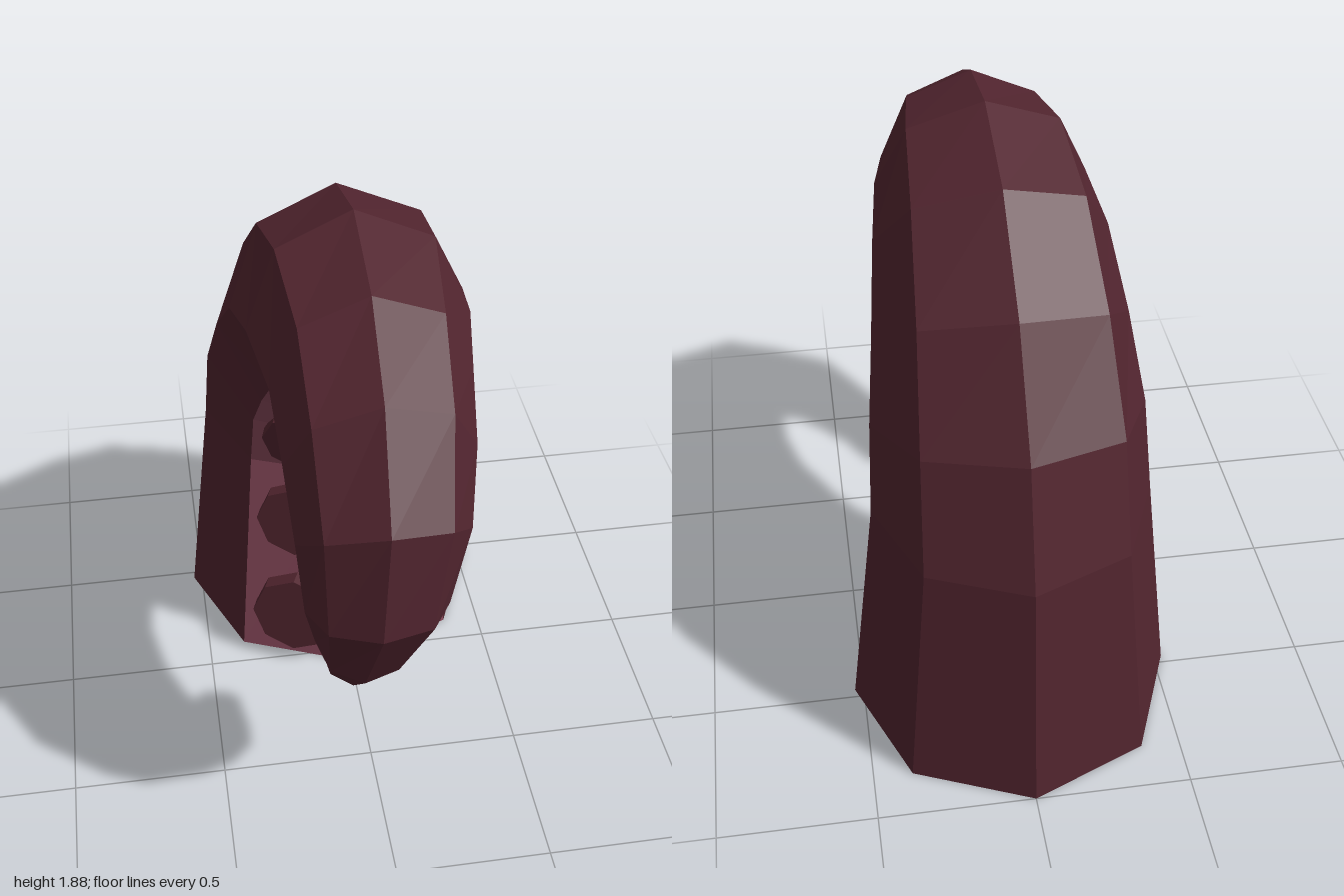
import * as THREE from 'three';

// Rings from base to tip: outer z, outer y, inner z, inner y, half width, centre x, roll
const RINGS = [
  [-1.0, 0, 0.06, 0, 0.53, 0, 0],
  [-0.905, 0.8, -0.035, 0.8, 0.44, 0, 0],
  [-0.79, 1.19, 0.0, 0.97, 0.425, 0, 0],
  [-0.565, 1.53, 0.085, 1.09, 0.395, 0, 0],
  [-0.255, 1.78, 0.19, 1.22, 0.365, 0, 0],
  [0.095, 1.88, 0.31, 1.255, 0.335, 0, 0],
  [0.45, 1.81, 0.42, 1.235, 0.295, 0, 0.02],
  [0.76, 1.66, 0.53, 1.16, 0.275, -0.01, 0.04],
  [0.97, 1.38, 0.585, 1.07, 0.25, -0.02, 0.06],
  [1.0, 1.03, 0.605, 0.93, 0.21, -0.04, 0.08],
  [0.84, 0.71, 0.57, 0.8, 0.145, -0.065, 0.1],
  [0.68, 0.535, 0.5, 0.69, 0.1, -0.08, 0.1],
  [0.46, 0.525, 0.43, 0.63, 0.06, -0.085, 0.1],
];
const SIDES = 8;

// Point on the tentacle surface at ring t (may be fractional) and side k; k = 0 is the outer ridge
function surfacePoint(t, k) {
  const i = Math.min(Math.floor(t), RINGS.length - 2), f = t - i;
  const at = (ring) => {
    const [oz, oy, iz, iy, w, x, roll] = ring;
    const a = (k / SIDES) * Math.PI * 2 - roll;
    const c = Math.cos(a) / 2;
    return new THREE.Vector3(
      x + Math.sin(a) * w,
      (oy + iy) / 2 + c * (oy - iy),
      (oz + iz) / 2 + c * (oz - iz));
  };
  return at(RINGS[i]).lerp(at(RINGS[i + 1]), f);
}

function facetMesh(name, points, material) {
  const geometry = new THREE.BufferGeometry().setFromPoints(points);
  geometry.computeVertexNormals();
  const mesh = new THREE.Mesh(geometry, material);
  mesh.name = name;
  return mesh;
}

// Lengthwise strips between the rings for the given sides
function strips(sides) {
  const points = [];
  for (let i = 0; i < RINGS.length - 1; i++) {
    for (const k of sides) {
      const a = surfacePoint(i, k), b = surfacePoint(i, k + 1);
      const c = surfacePoint(i + 1, k), d = surfacePoint(i + 1, k + 1);
      points.push(a, c, b, b, c, d);
    }
  }
  return points;
}

function cap(t, flip) {
  const points = [];
  const centre = surfacePoint(t, 0).add(surfacePoint(t, 4)).multiplyScalar(0.5);
  for (let k = 0; k < SIDES; k++) {
    const a = surfacePoint(t, k), b = surfacePoint(t, k + 1);
    points.push(centre, ...(flip ? [b, a] : [a, b]));
  }
  return points;
}

// Eight-sided disc lying on one of the two belly strips
function sucker(t, k, size, material) {
  const e = 0.05;
  const centre = surfacePoint(t, k).add(surfacePoint(t, k + 1)).multiplyScalar(0.5);
  const across = surfacePoint(t, k + 1).sub(surfacePoint(t, k));
  const along = surfacePoint(t + e, k).add(surfacePoint(t + e, k + 1))
    .sub(surfacePoint(t - e, k)).sub(surfacePoint(t - e, k + 1)).normalize();
  const normal = new THREE.Vector3().crossVectors(along, across).normalize();
  const side = new THREE.Vector3().crossVectors(normal, along).normalize();
  const height = size * 0.6;
  const geometry = new THREE.CylinderGeometry(size * 0.96, size, height, 8).toNonIndexed();
  geometry.computeVertexNormals();
  const mesh = new THREE.Mesh(geometry, material);
  mesh.name = 'sucker';
  mesh.quaternion.setFromRotationMatrix(new THREE.Matrix4().makeBasis(side, normal, along.clone().cross(normal).dot(side) > 0 ? along.clone().negate() : along));
  // Keep the basis right-handed: side x normal = third axis
  const third = new THREE.Vector3().crossVectors(side, normal);
  mesh.quaternion.setFromRotationMatrix(new THREE.Matrix4().makeBasis(side, normal, third));
  mesh.position.copy(centre).addScaledVector(normal, height * 0.1);
  return mesh;
}

export function createModel() {
  const skin = new THREE.MeshStandardMaterial({ color: 0x52252f });
  skin.name = 'dark maroon skin';
  const pink = new THREE.MeshStandardMaterial({ color: 0x8a4a5c });
  pink.name = 'dusky pink belly';

  const model = new THREE.Group();
  model.name = 'tentacle';
  model.add(facetMesh('outerSkin', strips([0, 1, 2, 5, 6, 7]), skin));
  model.add(facetMesh('belly', strips([3, 4]), pink));
  model.add(facetMesh('baseCap', cap(0, false), skin));
  model.add(facetMesh('tipCap', cap(RINGS.length - 1, true), skin));

  // Two rows of suckers, shrinking toward the tip: ring position, radius
  const suckers = new THREE.Group();
  suckers.name = 'suckers';
  const rows = [
    [0.256, 0.155], [0.75, 0.14], [1.85, 0.125], [3.45, 0.1], [4.8, 0.085], [6.2, 0.07],
    [7.3, 0.062], [8.2, 0.056], [9.1, 0.048], [9.9, 0.04], [10.6, 0.032], [11.3, 0.025],
  ];
  for (const [t, size] of rows) {
    for (const k of [3, 4]) suckers.add(sucker(t, k, size, skin));
  }
  model.add(suckers);
  return model;
}
